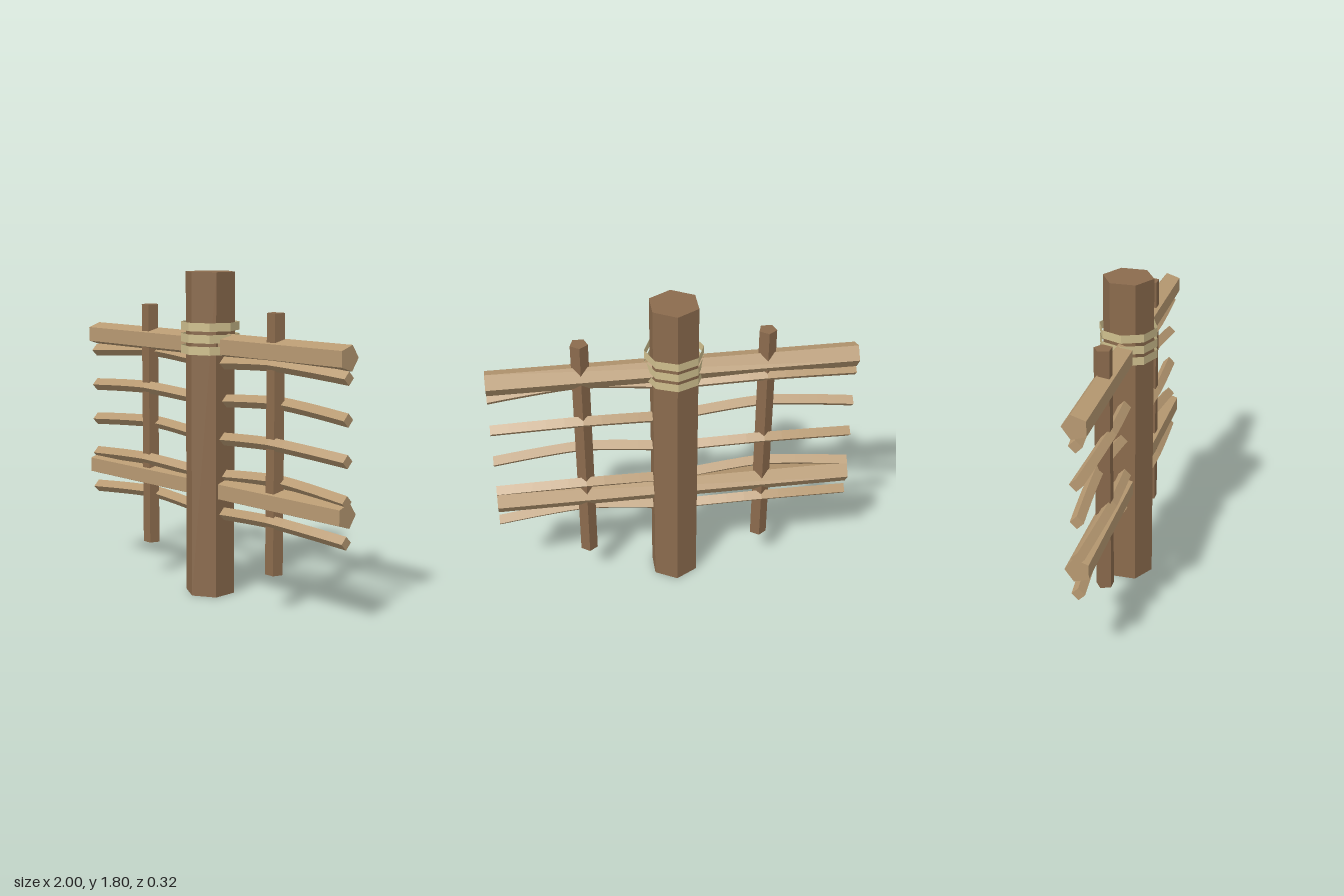
import * as THREE from 'three';

const material = (name, color, side = THREE.FrontSide) =>
  new THREE.MeshStandardMaterial({ name, color, side, flatShading: true });

export function createModel() {
  const model = new THREE.Group();
  model.name = 'fenceSection';
  const darkWood = material('darkWood', 0x8b6b4d);
  const paleWood = material('paleWood', 0xb89a72);
  const rope = material('rope', 0xd0c08e, THREE.DoubleSide);

  const add = (name, geometry, mat, x, y) => {
    const mesh = new THREE.Mesh(geometry, mat);
    mesh.name = name;
    mesh.position.set(x, y, 0);
    model.add(mesh);
  };

  // Thick hexagonal centre post
  add('post', new THREE.CylinderGeometry(0.14, 0.14, 1.8, 6), darkWood, 0, 0.9);

  // Five-sided uprights, one edge facing back
  for (const x of [-0.5, 0.5]) {
    add('upright', new THREE.CylinderGeometry(0.05, 0.05, 1.4, 5).rotateY(Math.PI), darkWood, x, 0.9);
  }

  // Five-sided horizontal rails
  for (const y of [0.6, 1.4]) {
    const rail = new THREE.CylinderGeometry(0.07, 0.07, 2, 5).rotateY(Math.PI).rotateZ(Math.PI / 2);
    add('rail', rail, paleWood, 0, y);
  }

  // Branches woven past the uprights, swapping sides on every level
  for (let i = 0; i < 5; i++) {
    const branch = new THREE.CylinderGeometry(0.036, 0.036, 2, 4, 20).rotateZ(Math.PI / 2);
    const p = branch.attributes.position;
    const weave = i % 2 ? -1 : 1;
    for (let v = 0; v < p.count; v++) {
      const x = p.getX(v);
      const d = Math.min(1, Math.abs(Math.abs(x) - 0.5) / 0.5);
      const bend = 0.032 * (1 - d ** 1.3);
      p.setY(v, p.getY(v) + bend);
      p.setZ(v, p.getZ(v) + bend * weave * Math.sign(x));
    }
    branch.computeVertexNormals();
    add('wovenBranch', branch, paleWood, 0, 0.46 + i * 0.21);
  }

  // Open rope bands around the post
  for (let i = 0; i < 3; i++) {
    const band = new THREE.CylinderGeometry(0.16, 0.16, 0.046, 8, 1, true);
    add('ropeBand', band, rope, 0, 1.378 + i * 0.064);
  }

  return model;
}
